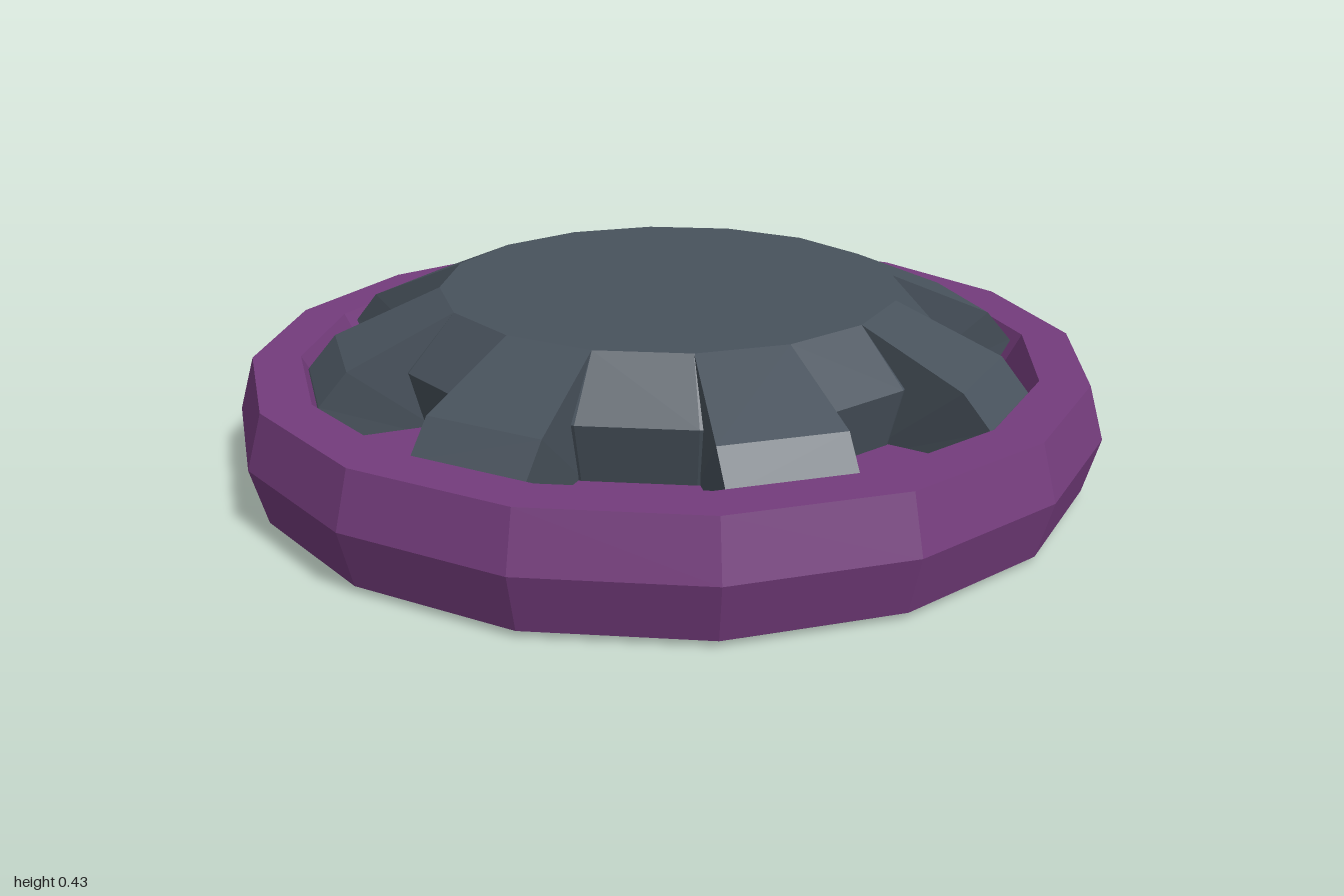
import * as THREE from 'three';

const SIDES = 16;
const purple = new THREE.MeshStandardMaterial({ color: 0x743c7c });
purple.name = 'purple';
const slate = new THREE.MeshStandardMaterial({ color: 0x48525c });
slate.name = 'slate grey';

// Split shared vertices so every facet is flat
function faceted(geometry) {
  const g = geometry.index ? geometry.toNonIndexed() : geometry;
  g.computeVertexNormals();
  return g;
}

// Sixteen-sided turned body; radii are measured to the middle of each flat
function facetedLathe(name, profile, material) {
  const k = 1 / Math.cos(Math.PI / SIDES);
  const points = profile.map(([r, y]) => new THREE.Vector2(r * k, y));
  const geometry = new THREE.LatheGeometry(points, SIDES, Math.PI / SIDES);
  const mesh = new THREE.Mesh(faceted(geometry), material);
  mesh.name = name;
  return mesh;
}

// Bent rib: side profile extruded, then widened away from the centre
function ribGeometry() {
  const profile = [[0.53, 0.12], [0.9, 0.02], [0.93, 0], [0.94, 0], [0.95, 0.02],
    [0.84, 0.25], [0.775, 0.325], [0.53, 0.43]];
  const shape = new THREE.Shape(profile.map(([r, y]) => new THREE.Vector2(r, y)));
  const geometry = new THREE.ExtrudeGeometry(shape, { depth: 2, bevelEnabled: false });
  geometry.translate(0, 0, -1);
  const p = geometry.attributes.position;
  for (let i = 0; i < p.count; i++) {
    const t = THREE.MathUtils.clamp((p.getX(i) - 0.53) / 0.24, 0, 1);
    p.setZ(i, p.getZ(i) * THREE.MathUtils.lerp(0.105, 0.138, t));
  }
  return faceted(geometry);
}

export function createModel() {
  const model = new THREE.Group();
  model.name = 'ribbedDisc';

  // Dish-shaped base with a bevelled rim and sunken floor
  model.add(facetedLathe('base', [[0, 0.015], [0.965, 0.015], [1, 0.145], [0.965, 0.27],
    [0.855, 0.27], [0.8, 0.17], [0, 0.17]], purple));

  // Flat-topped hub with sloping, slightly undercut sides
  model.add(facetedLathe('hub', [[0.6, 0.15], [0.64, 0.305], [0.53, 0.43], [0, 0.43]], slate));

  // Eight ribs clamping the hub to the base
  const ribs = new THREE.Group();
  ribs.name = 'ribs';
  const geometry = ribGeometry();
  for (let i = 0; i < 8; i++) {
    const rib = new THREE.Mesh(geometry, slate);
    rib.name = 'rib';
    rib.rotation.y = (i * Math.PI) / 4;
    ribs.add(rib);
  }
  model.add(ribs);
  return model;
}
